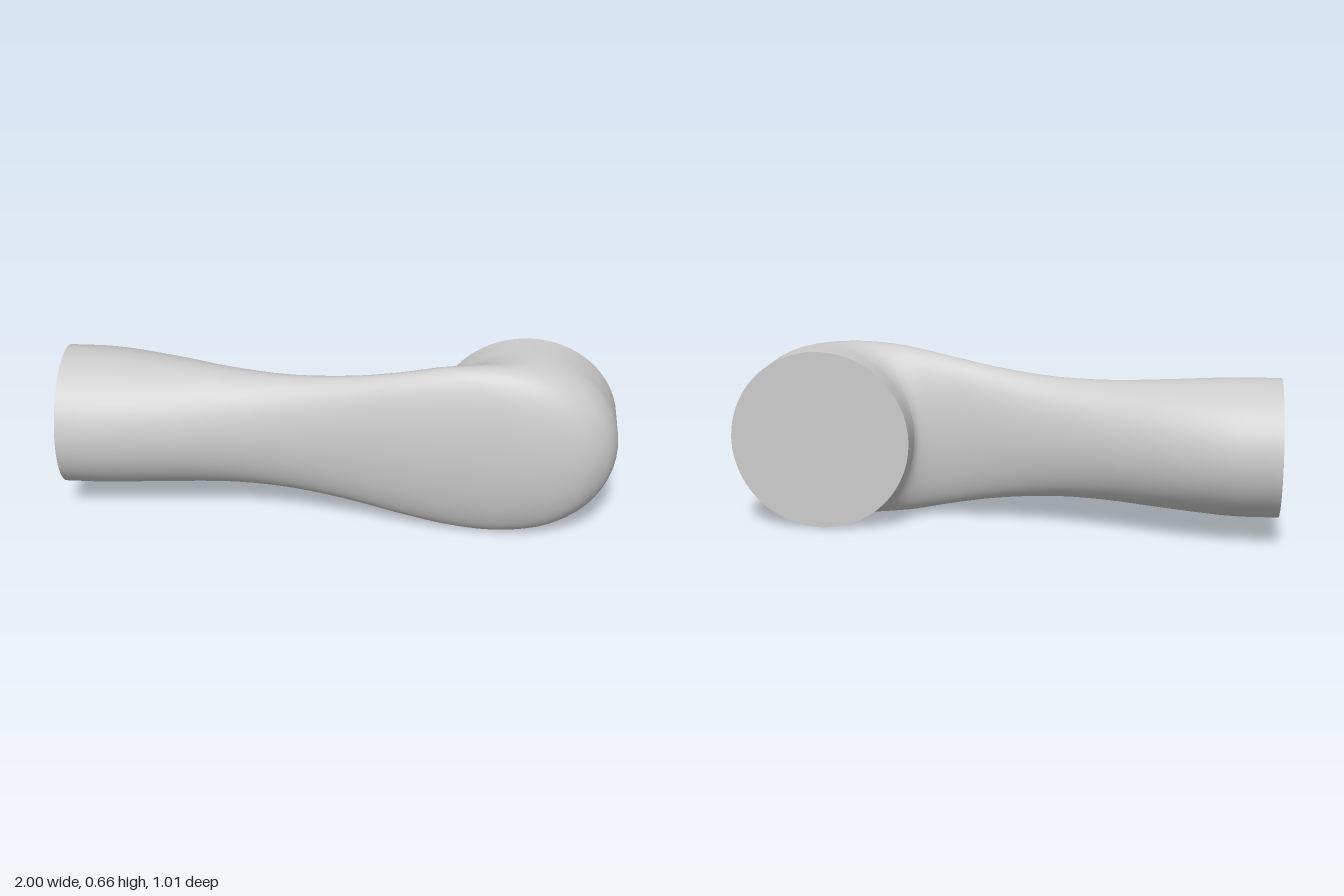
import * as THREE from 'three';

const MID_Y = 0.33; // height of the symmetry plane
const RINGS = 96, SIDES = 56;

// Cross-sections: front edge x, z / back edge x, z / half height
const SECTIONS = [
  [-1.0, -0.025, -0.86, -0.505, 0.25],
  [-0.85, 0.015, -0.68, -0.445, 0.249],
  [-0.62, 0.058, -0.5, -0.335, 0.236],
  [-0.4, 0.095, -0.3, -0.185, 0.223],
  [-0.2, 0.15, -0.12, -0.06, 0.226],
  [0.0, 0.225, 0.06, 0.045, 0.25],
  [0.2, 0.312, 0.19, 0.108, 0.284],
  [0.4, 0.392, 0.27, 0.132, 0.314],
  [0.6, 0.465, 0.315, 0.136, 0.328],
  [0.77, 0.5, 0.335, 0.125, 0.33],
  [0.875, 0.475, 0.343, 0.11, 0.33],
  [0.935, 0.415, 0.349, 0.095, 0.33],
  [0.967, 0.33, 0.357, 0.073, 0.33],
  [1.0, 0.23, 0.37, 0.037, 0.33],
];

const curve = (pick) =>
  new THREE.CatmullRomCurve3(SECTIONS.map(pick), false, 'catmullrom', 0.5);
const frontEdge = curve(([x, z, , , h]) => new THREE.Vector3(x, h, z));
const backEdge = curve(([, , x, z]) => new THREE.Vector3(x, 0, z));

// Point on the elliptical section at t, angle a
function sectionPoint(t, a, radius = 1) {
  const f = frontEdge.getPoint(t), b = backEdge.getPoint(t);
  const c = radius * Math.cos(a) / 2;
  return [
    (f.x + b.x) / 2 + (f.x - b.x) * c,
    MID_Y + radius * f.y * Math.sin(a),
    (f.z + b.z) / 2 + (f.z - b.z) * c,
  ];
}

function makeMesh(name, positions, index, material) {
  const geometry = new THREE.BufferGeometry();
  geometry.setAttribute('position', new THREE.Float32BufferAttribute(positions, 3));
  geometry.setIndex(index);
  geometry.computeVertexNormals();
  const mesh = new THREE.Mesh(geometry, material);
  mesh.name = name;
  return mesh;
}

// Smooth skin lofted through the sections, closed around
function makeBody(material) {
  const positions = [], index = [];
  for (let i = 0; i <= RINGS; i++) {
    for (let j = 0; j < SIDES; j++) {
      positions.push(...sectionPoint(i / RINGS, (j / SIDES) * Math.PI * 2));
    }
  }
  for (let i = 0; i < RINGS; i++) {
    for (let j = 0; j < SIDES; j++) {
      const k = (j + 1) % SIDES;
      const a = i * SIDES + j, b = i * SIDES + k;
      index.push(a, a + SIDES, b, b, a + SIDES, b + SIDES);
    }
  }
  return makeMesh('body', positions, index, material);
}

// Flat disc closing one end
function makeCap(name, t, material) {
  const positions = sectionPoint(t, 0, 0), index = [];
  for (let j = 0; j < SIDES; j++) {
    positions.push(...sectionPoint(t, (j / SIDES) * Math.PI * 2));
    const a = j + 1, b = ((j + 1) % SIDES) + 1;
    if (t === 0) index.push(0, a, b);
    else index.push(0, b, a);
  }
  return makeMesh(name, positions, index, material);
}

export function createModel() {
  const model = new THREE.Group();
  model.name = 'curvedConnector';
  const material = new THREE.MeshStandardMaterial({ color: 0xcccccc });
  model.add(
    makeBody(material),
    makeCap('smallEndFace', 0, material),
    makeCap('largeEndFace', 1, material),
  );
  return model;
}
